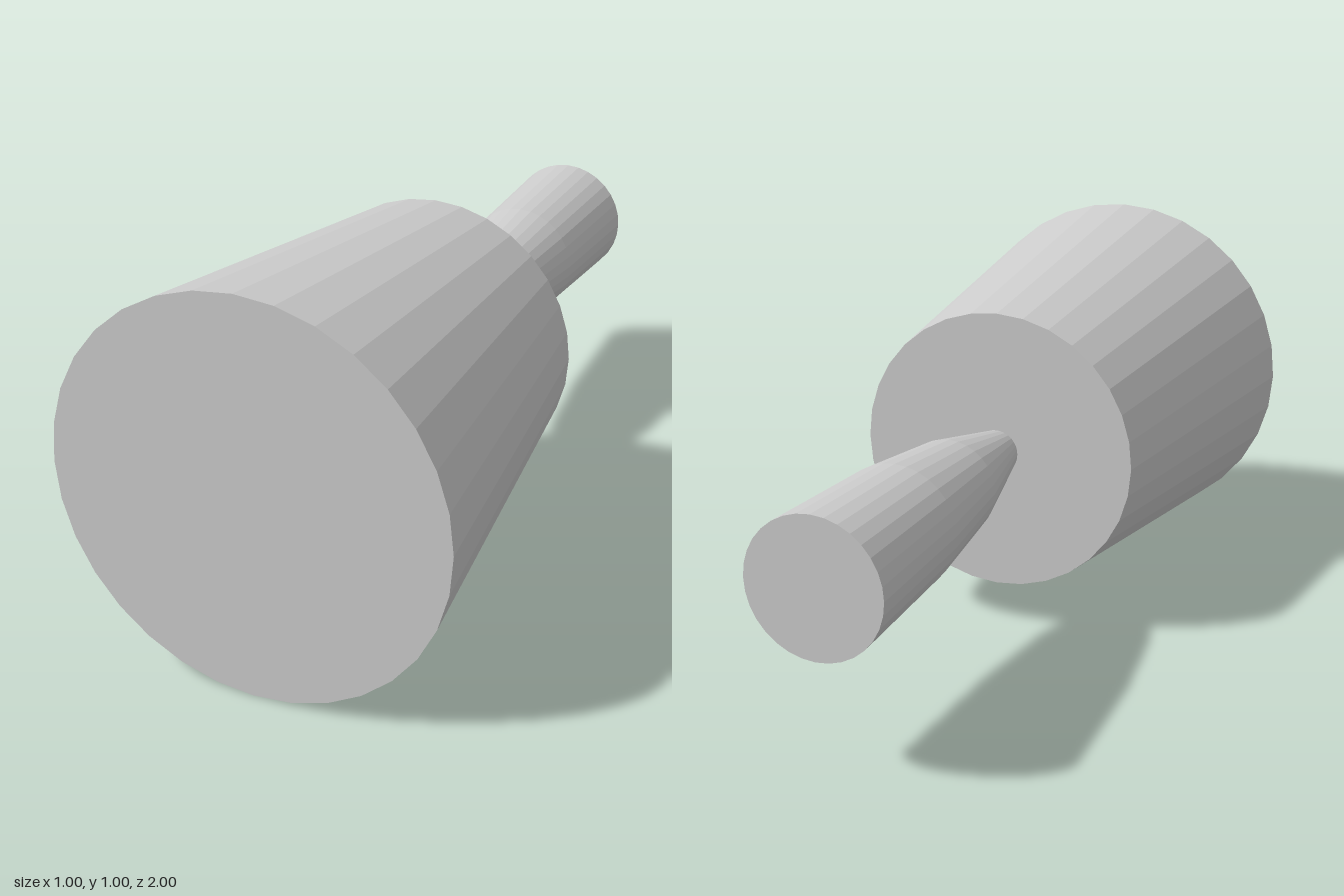
import * as THREE from 'three';

const SIDES = 32;

// Turned solid: [radius, distance] pairs running from the front towards the back (-z)
function turned(name, profile, material, z) {
  const points = profile.map(([r, d]) => new THREE.Vector2(r, d));
  const geometry = new THREE.LatheGeometry(points, SIDES).rotateX(-Math.PI / 2).toNonIndexed();
  geometry.computeVertexNormals(); // flat facets
  const mesh = new THREE.Mesh(geometry, material);
  mesh.name = name;
  mesh.position.set(0, 0.5, z);
  return mesh;
}

export function createModel() {
  const model = new THREE.Group();
  model.name = 'mallet';
  const grey = new THREE.MeshStandardMaterial({ color: 0xcccccc });
  grey.name = 'grey';

  // Tapered head, wide end at the front
  model.add(turned('head', [[0, 0], [0.498, 0], [0.378, 1], [0, 1]], grey, 1));

  // Handle, flaring from a thin neck to a closed butt
  model.add(turned('handle', [[0.06, 0], [0.125, 0.3], [0.157, 0.6], [0.172, 1], [0, 1]], grey, 0));

  return model;
}
